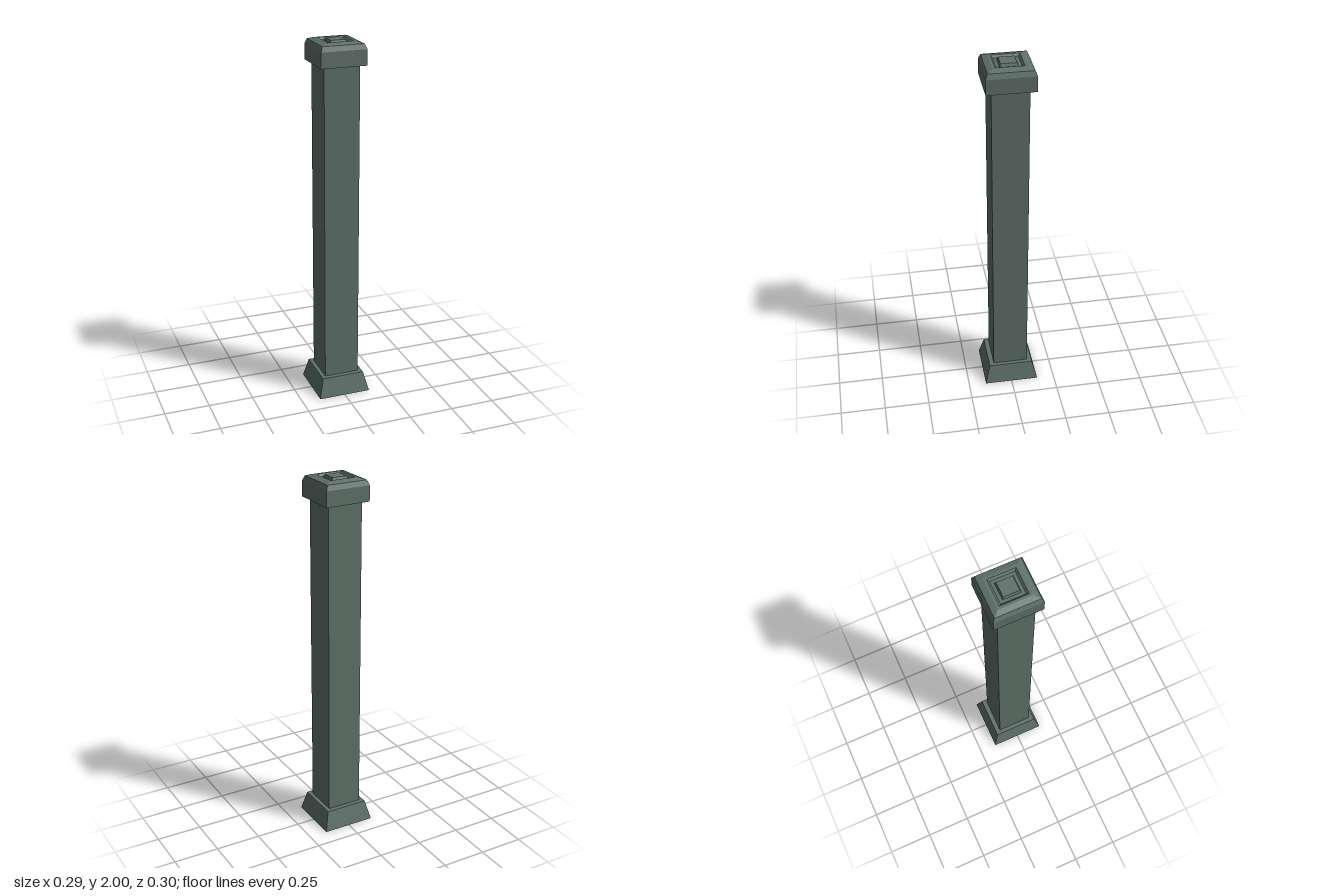
import * as THREE from 'three';

const material = new THREE.MeshStandardMaterial({ color: 0x5f716a, flatShading: true });

// Square-section solid from [half width, height] steps, listed from the bottom up
function squareTurned(name, steps, depthScale) {
  const points = steps.map(([half, y]) => new THREE.Vector2(half * Math.SQRT2, y));
  const geometry = new THREE.LatheGeometry(points, 4, Math.PI / 4);
  geometry.scale(1, 1, depthScale);
  const mesh = new THREE.Mesh(geometry, material);
  mesh.name = name;
  return mesh;
}

export function createModel() {
  const post = new THREE.Group();
  post.name = 'post';

  // Flared foot with a flat top ledge
  post.add(squareTurned('foot', [[0, 0], [0.147, 0], [0.12, 0.11], [0, 0.11]], 1.035));

  // Straight square shaft
  const shaft = new THREE.Mesh(new THREE.BoxGeometry(0.196, 1.8, 0.196), material);
  shaft.name = 'shaft';
  shaft.position.y = 1.0;
  post.add(shaft);

  // Cap: bevelled shoulders, sunken channel and a raised centre panel
  post.add(squareTurned('cap', [
    [0, 1.876], [0.125, 1.876], [0.125, 1.96], [0.114, 1.987],
    [0.086, 1.997], [0.072, 1.997], [0.062, 1.985],
    [0.046, 1.985], [0.04, 2.0], [0, 2.0],
  ], 1.035));

  return post;
}
